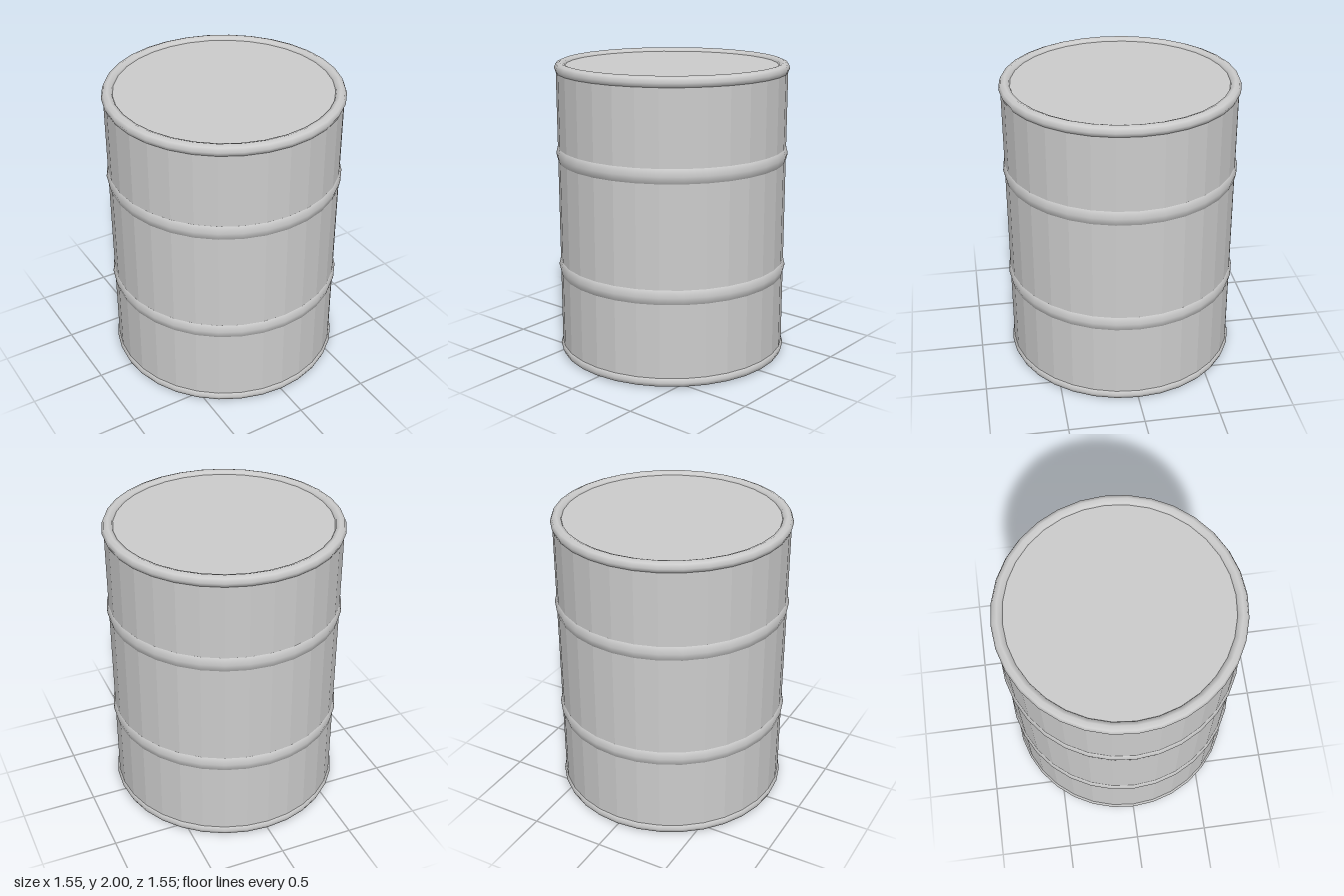
import * as THREE from 'three';

const SIDES = 32;

export function createModel() {
  const drum = new THREE.Group();
  drum.name = 'drum';

  const facetedMetal = new THREE.MeshStandardMaterial({ color: 0xcccccc, flatShading: true });
  const smoothMetal = new THREE.MeshStandardMaterial({ color: 0xcccccc });

  // Faceted barrel wall with closed lids, slightly recessed inside the rims
  const body = new THREE.Mesh(new THREE.CylinderGeometry(0.765, 0.765, 1.95, SIDES), facetedMetal);
  body.name = 'body';
  body.position.y = 1;
  drum.add(body);

  // Rounded hoop around the barrel; stretch makes it taller than it is deep
  function addHoop(name, y, stretch) {
    const geometry = new THREE.TorusGeometry(0.738, 0.039, 8, SIDES);
    geometry.rotateX(Math.PI / 2);
    geometry.scale(1, stretch, 1);
    const hoop = new THREE.Mesh(geometry, smoothMetal);
    hoop.name = name;
    hoop.position.y = y;
    drum.add(hoop);
  }

  // End rims
  addHoop('bottomRim', 0.039, 1);
  addHoop('topRim', 1.961, 1);

  // Rolling ribs
  addHoop('lowerRib', 0.613, 1.72);
  addHoop('upperRib', 1.391, 1.72);

  return drum;
}
